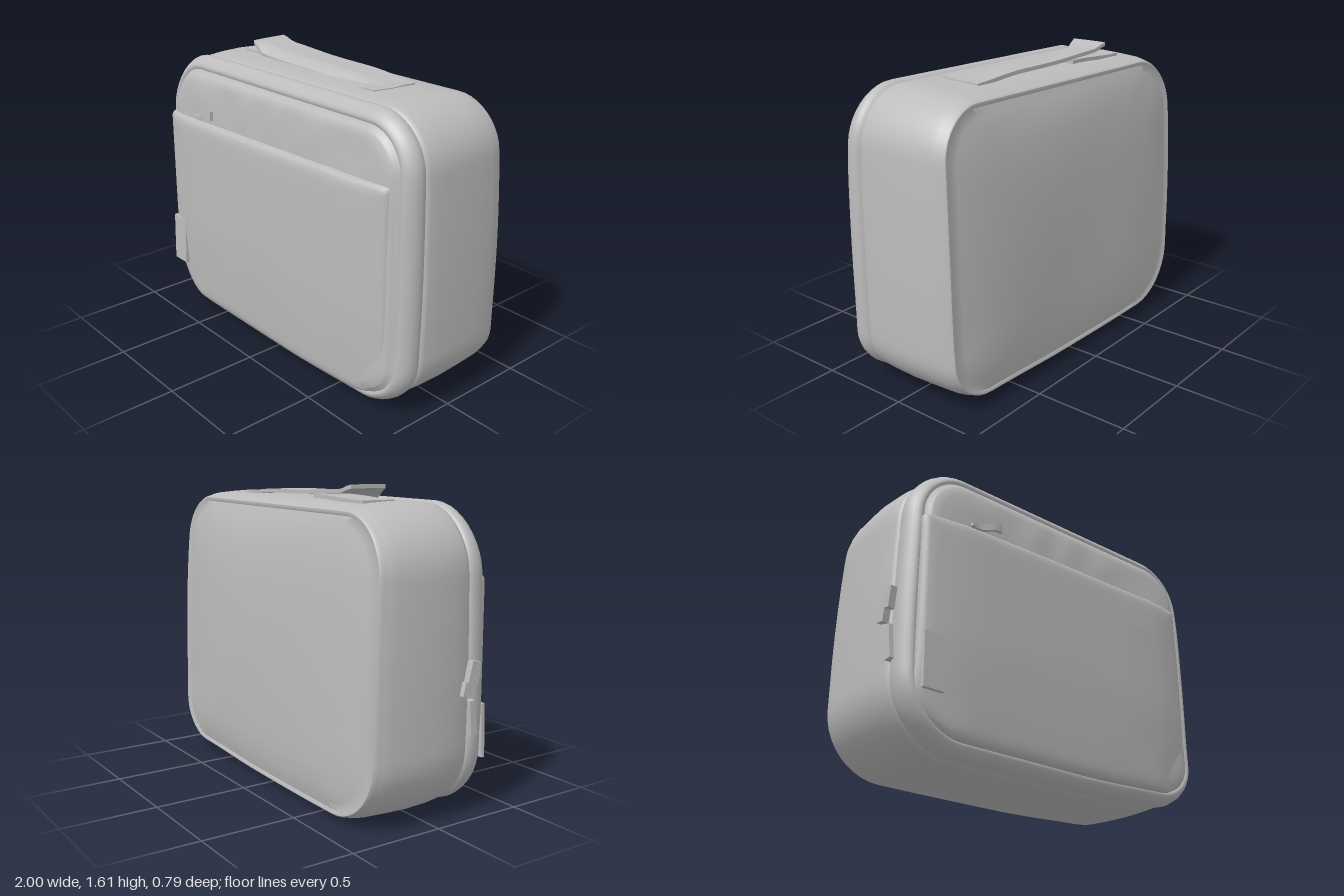
import * as THREE from 'three';
import { toCreasedNormals, mergeVertices } from 'three/addons/utils/BufferGeometryUtils.js';

const fabric = new THREE.MeshStandardMaterial({ color: 0xbcbcbc, side: THREE.DoubleSide });
fabric.name = 'grey fabric';

// Rounded rectangle, counter-clockwise seen from +z; radii run from lower +x, upper +x, upper -x, lower -x
function ring(b, inset, scale) {
  const x0 = b.x0 + inset, x1 = b.x1 - inset, y0 = b.y0 + inset, y1 = b.y1 - inset;
  const r = b.radii.map(v => Math.max(v - inset, 0.02));
  const corners = [[x1 - r[0], y0 + r[0], r[0], -90], [x1 - r[1], y1 - r[1], r[1], 0],
    [x0 + r[2], y1 - r[2], r[2], 90], [x0 + r[3], y0 + r[3], r[3], 180]];
  const arcPoint = ([cx, cy, radius, start], i) => {
    const a = THREE.MathUtils.degToRad(start + i * 9);
    return [cx + radius * Math.cos(a), cy + radius * Math.sin(a)];
  };
  const pts = [];
  corners.forEach((corner, k) => {
    for (let i = 0; i <= 10; i++) pts.push(arcPoint(corner, i));
    const last = pts[pts.length - 1], next = arcPoint(corners[(k + 1) % 4], 0);
    for (let i = 1; i < 20; i++) {
      const t = i / 20;
      pts.push([last[0] + (next[0] - last[0]) * t, last[1] + (next[1] - last[1]) * t]);
    }
  });
  const mx = (x0 + x1) / 2, my = (y0 + y1) / 2;
  return pts.map(([x, y]) => [mx + (x - mx) * scale, my + (y - my) * scale]);
}

// Joins rings along +z; each section is [z, inset, scale]
function loft(bounds, sections, warp) {
  const pos = [], idx = [];
  let n = 0;
  for (const [z, inset, scale = 1] of sections) {
    const pts = ring(bounds, inset, scale);
    n = pts.length;
    for (const [x, y] of pts) pos.push(...warp(x, y, z));
  }
  for (let i = 0; i < sections.length - 1; i++) {
    for (let j = 0; j < n; j++) {
      const a = i * n + j, b = i * n + (j + 1) % n;
      if (sections[i][2] !== 0) idx.push(a, b, b + n);
      if (sections[i + 1][2] !== 0) idx.push(a, b + n, a + n);
    }
  }
  const g = new THREE.BufferGeometry();
  g.setAttribute('position', new THREE.Float32BufferAttribute(pos, 3));
  g.setIndex(idx);
  return toCreasedNormals(g, 0.8);
}

// Subdivided box moved by a rule
function warpedBox(w, h, d, sx, sz, rule) {
  let g = new THREE.BoxGeometry(w, h, d, sx, 2, sz);
  const p = g.attributes.position;
  for (let i = 0; i < p.count; i++) p.setXYZ(i, ...rule(p.getX(i), p.getY(i), p.getZ(i)));
  g.deleteAttribute('normal');
  g.deleteAttribute('uv');
  g = mergeVertices(g);
  return toCreasedNormals(g, 0.9);
}

function add(parent, name, geometry) {
  const m = new THREE.Mesh(geometry, fabric);
  m.name = name;
  parent.add(m);
  return m;
}

const smooth = THREE.MathUtils.smoothstep;
const bottomLift = (x, y) => 0.03 * smooth(x, 0.1, 0.9) * (1 - smooth(y, 0, 0.4));

// Soft sag, tilt and creases of the case
function bodyWarp(x, y, z) {
  const taper = 0.022 * ((y - 0.68) / 0.75) ** 2;
  const back = smooth(-z, 0, 0.34);
  const front = smooth(z, 0.2, 0.32);
  const low = 1 - smooth(y, 0, 0.5);
  let nz = z + back * (-0.008 - 0.012 * low + 0.05 * (y / 1.5) ** 3)
    + front * (0.015 * low - 0.015 * smooth(y, 1.1, 1.5));
  const inner = smooth(0.85 - Math.abs(x), 0, 0.2) * smooth(1.46 - y, 0, 0.1);
  if (z > 0.33) nz += inner * smooth(y, 1.2, 1.3) * 0.006 * Math.sin(x * 15 + 3 * Math.sin(x * 4));
  if (z < -0.3) nz += inner * 0.005 * Math.sin(x * 4 + y * 3);
  const leftIn = 0.028 * smooth(z, 0, 0.3) * smooth(-x, 0.5, 0.95);
  return [x * (1 - taper) + leftIn, y + 0.012 * x * (y / 1.5) + bottomLift(x, y), nz];
}

// Front pocket leans back toward the bottom and its top edge slopes
function pocketWarp(x, y, z) {
  const k = smooth(z, 0.32, 0.39);
  const lean = -0.022 * (1 - smooth(y, 0.05, 0.6));
  const sides = -0.03 * smooth(Math.abs(x), 0.62, 0.92);
  return [x, y + 0.028 * x * smooth(y, 0.6, 1.2) + bottomLift(x, y),
    z + k * (lean + sides + 0.002 * Math.sin(x * 6 + y * 2))];
}

export function createModel() {
  const model = new THREE.Group();
  model.name = 'lunchBag';

  // Padded case: back panel, back piping, wall, seam, lid rim, front piping, front panel
  const caseBounds = { x0: -0.985, x1: 0.997, y0: 0.01, y1: 1.54, radii: [0.28, 0.27, 0.32, 0.34] };
  add(model, 'case', loft(caseBounds, [
    [-0.386, 0.055, 0], [-0.385, 0.055, 0.25], [-0.382, 0.055, 0.5], [-0.374, 0.055, 0.72],
    [-0.362, 0.055, 0.87], [-0.348, 0.055, 0.95], [-0.338, 0.055], [-0.344, 0.045], [-0.344, 0.034],
    [-0.334, 0.026], [-0.322, 0.024], [-0.3, 0.016], [-0.26, 0.008], [-0.15, 0.001],
    [-0.03, -0.004], [0.1, -0.002], [0.18, 0.003], [0.2, 0.008], [0.206, 0.016], [0.213, 0.008],
    [0.228, 0], [0.255, -0.003], [0.28, 0.004], [0.3, 0.016], [0.314, 0.03],
    [0.324, 0.043], [0.326, 0.055], [0.32, 0.066], [0.328, 0.078], [0.34, 0.09],
    [0.348, 0.1], [0.354, 0.1, 0.95], [0.358, 0.1, 0.88], [0.36, 0.1, 0.8], [0.361, 0.1, 0.7],
    [0.362, 0.1, 0.5], [0.362, 0.1, 0]
  ], bodyWarp));

  // Front pocket
  const pocketBounds = { x0: -0.9, x1: 0.89, y0: 0.065, y1: 1.215, radii: [0.2, 0.03, 0.03, 0.27] };
  add(model, 'frontPocket', loft(pocketBounds, [
    [0.31, 0], [0.345, 0.002], [0.37, 0.006], [0.386, 0.014], [0.394, 0.03],
    [0.397, 0.03, 0.95], [0.399, 0.03, 0.88], [0.4, 0.03, 0.75], [0.4, 0.03, 0.5], [0.4, 0.03, 0.25], [0.4, 0.03, 0]
  ], pocketWarp));

  // Zip pull lying on the pocket opening
  const pocketPull = add(model, 'pocketZipPull', warpedBox(0.18, 0.035, 0.02, 8, 1, (x, y, z) =>
    [x, y * (1 + x * 5) + 0.04 * smooth(x, -0.05, 0.09), z + 0.01 * Math.sin(x * 30)]));
  pocketPull.position.set(-0.54, 1.215, 0.375);

  // Fabric tag on the pocket
  const tag = add(model, 'tag', warpedBox(0.115, 0.28, 0.02, 4, 1, (x, y, z) =>
    [x - 0.06 * y + 0.01 * Math.sin(y * 8), y, z - 0.03 * y]));
  tag.position.set(-0.83, 0.4, 0.377);

  // Carry handle: strap with a drooping front edge and one raised end, over stitched tabs
  const handle = new THREE.Group();
  handle.name = 'handle';
  model.add(handle);
  add(handle, 'strap', warpedBox(1.04, 0.02, 0.21, 30, 8, (x, y, z) =>
    [x + 0.02, y + 1.567 - 0.025 * x + 0.022 * smooth(-x, 0.42, 0.52) - 0.008 * smooth(x, 0.2, 0.5)
      - 0.035 * smooth(z, 0.05, 0.11) * (1 - smooth(-x, 0.45, 0.52)) + 0.003 * Math.sin(x * 9 + z * 8),
    z - 0.055 + 0.012 * x]));
  add(handle, 'leftTab', warpedBox(0.42, 0.02, 0.19, 10, 2, (x, y, z) =>
    [x - 0.4, y + 1.533 + 0.018 * smooth(x, -0.2, 0.2), z - 0.08]));
  add(handle, 'rightTab', warpedBox(0.14, 0.02, 0.2, 6, 4, (x, y, z) =>
    [x * (1 - 4 * Math.max(z, 0)) + 0.47, y + 1.545, z]));

  // Main zip sliders and pull on the side
  const zip = new THREE.Group();
  zip.name = 'mainZip';
  model.add(zip);
  [['slider', 0.74, 0.11, 0.06, 0.21], ['slider', 0.66, 0.07, 0.05, 0.17], ['pull', 0.51, 0.18, 0.035, 0.22]]
    .forEach(([name, y, h, d, z]) => {
      const part = add(zip, name, warpedBox(0.035, h, d, 2, 2, (px, py, pz) => [px, py, pz * (1 - py * 2)]));
      part.position.set(name === 'slider' ? -0.98 : -0.965, y, z);
      part.rotation.x = name === 'slider' ? 0.2 : -0.1;
    });

  return model;
}
